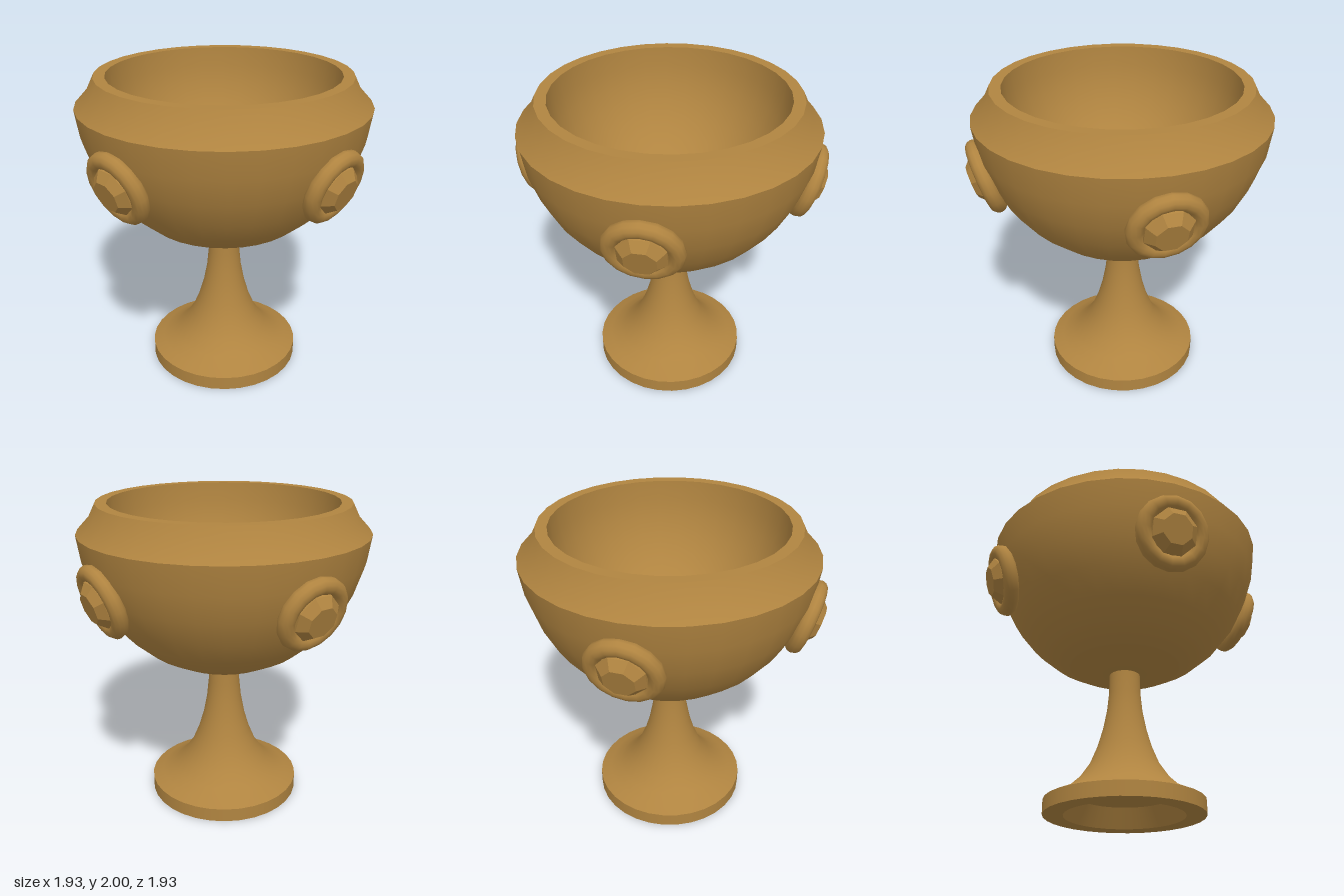
import * as THREE from 'three';

const SIDES = 32;

export function createModel() {
  const model = new THREE.Group();
  const bronze = new THREE.MeshStandardMaterial({ color: 0xb08440 });
  bronze.name = 'bronze';

  const add = (parent, name, geometry) => {
    const mesh = new THREE.Mesh(geometry, bronze);
    mesh.name = name;
    parent.add(mesh);
    return mesh;
  };
  // Each profile is one smooth band; separate bands meet at sharp edges.
  const lathe = (name, points) => add(model, name,
    new THREE.LatheGeometry(points.map(([r, y]) => new THREE.Vector2(r, y)), SIDES));

  // Foot, hollow underneath
  lathe('footHollowCeiling', [[0, 0.125], [0.3, 0.125]]);
  lathe('footHollowWall', [[0.3, 0.125], [0.375, 0]]);
  lathe('footUnderside', [[0.375, 0], [0.5, 0]]);
  lathe('footEdge', [[0.5, 0], [0.5, 0.09]]);

  // Flared stem
  lathe('stem', [[0.5, 0.09], [0.43, 0.12], [0.36, 0.155], [0.285, 0.225], [0.22, 0.32],
    [0.175, 0.43], [0.14, 0.55], [0.115, 0.68], [0.103, 0.8], [0.1, 0.94]]);

  // Bowl
  lathe('bowlOutside', [[0, 0.93], [0.1, 0.93], [0.35, 0.98], [0.5, 1.06], [0.64, 1.18],
    [0.75, 1.32], [0.83, 1.48], [0.885, 1.65], [0.91, 1.82]]);
  lathe('bowlShoulder', [[0.91, 1.82], [0.835, 1.9], [0.785, 2]]);
  lathe('bowlRim', [[0.785, 2], [0.715, 2]]);
  // Rounded hollow, a half ellipse from rim to floor
  const hollow = [];
  for (let i = 0; i <= 10; i++) {
    const a = (i / 10) * Math.PI / 2;
    hollow.push([0.715 * Math.cos(a), 2 - 0.78 * Math.sin(a)]);
  }
  lathe('bowlInside', hollow);

  // Four jewels in ring settings, leaning with the bowl wall
  const ring = new THREE.TorusGeometry(0.185, 0.05, 12, 16);
  const facet = (top, bottom, from, to) => {
    const g = new THREE.CylinderGeometry(top, bottom, to - from, 8).toNonIndexed();
    g.rotateY(Math.PI / 8).rotateX(Math.PI / 2).translate(0, 0, (from + to) / 2);
    g.computeVertexNormals();
    return g;
  };
  const crown = facet(0.098, 0.15, 0.04, 0.09);
  const girdle = facet(0.15, 0.15, -0.06, 0.04);
  for (let i = 0; i < 4; i++) {
    const turn = new THREE.Group();
    turn.name = 'jewelMount';
    turn.rotation.y = i * Math.PI / 2;
    const jewel = new THREE.Group();
    jewel.name = 'jewel';
    jewel.position.set(0, 1.495, 0.85);
    jewel.rotation.x = 0.3;
    add(jewel, 'ringSetting', ring);
    add(jewel, 'gemCrown', crown);
    add(jewel, 'gemGirdle', girdle);
    turn.add(jewel);
    model.add(turn);
  }
  return model;
}
